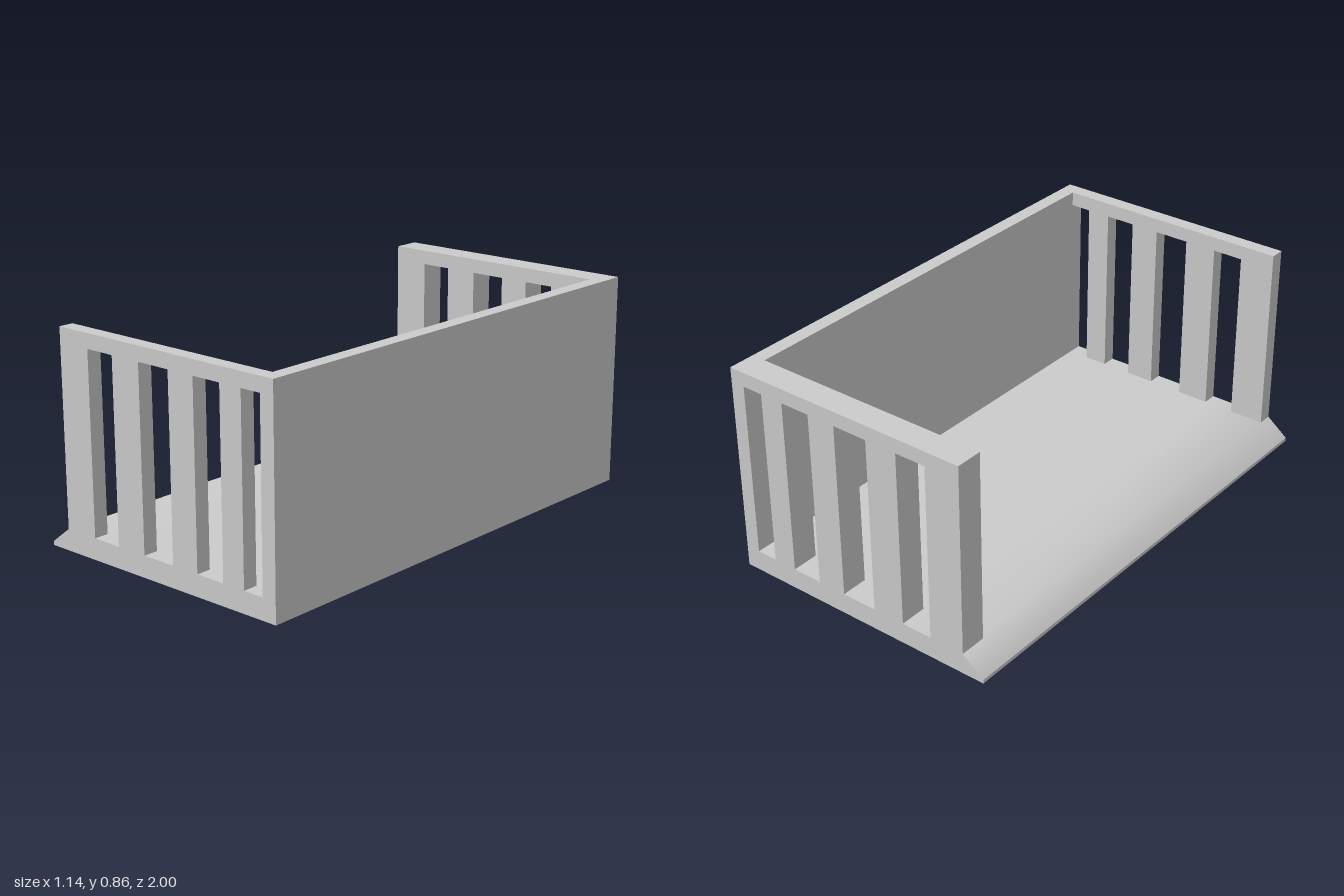
import * as THREE from 'three';
import { toCreasedNormals } from 'three/addons/utils/BufferGeometryUtils.js';

const FLOOR = 0.085, TOP = 0.855, RAIL = 0.797;
const RIGHT = 0.57, INNER = 0.51, OPEN = -0.48;
const BACK = [-1, -0.89], FRONT = [0.94, 1];

export function createModel() {
  const group = new THREE.Group();
  group.name = 'slattedTray';
  const material = new THREE.MeshStandardMaterial({ color: 0xcccccc });

  // Extrude an x-y outline between two z positions
  function addProfile(name, points, [z0, z1]) {
    const shape = new THREE.Shape(points.map(([x, y]) => new THREE.Vector2(x, y)));
    const extruded = new THREE.ExtrudeGeometry(shape, { depth: z1 - z0, bevelEnabled: false });
    const mesh = new THREE.Mesh(toCreasedNormals(extruded, 0.7), material);
    mesh.position.z = z0;
    mesh.name = name;
    group.add(mesh);
  }

  // Floor slab with a softly shaded ramp along the open side
  addProfile('floor', [
    [-0.57, 0], [RIGHT, 0], [RIGHT, FLOOR], [-0.2, FLOOR], [OPEN, FLOOR], [-0.57, 0.015],
  ], [-1, 1]);

  // Slatted end walls: upright posts joined by a top rail
  const slots = [[-0.333, -0.205], [-0.07, 0.077], [0.198, 0.324], [0.423, INNER]];
  const comb = [[OPEN, FLOOR]];
  for (const [a, b] of slots) comb.push([a, FLOOR], [a, RAIL], [b, RAIL], [b, FLOOR]);
  comb.push([RIGHT, FLOOR], [RIGHT, TOP], [OPEN, TOP]);
  addProfile('frontWall', comb, FRONT);
  addProfile('backWall', comb, BACK);

  // Solid long wall between the end walls
  addProfile('sideWall', [
    [INNER, FLOOR], [RIGHT, FLOOR], [RIGHT, TOP], [INNER, TOP],
  ], [BACK[1], FRONT[0]]);

  return group;
}
